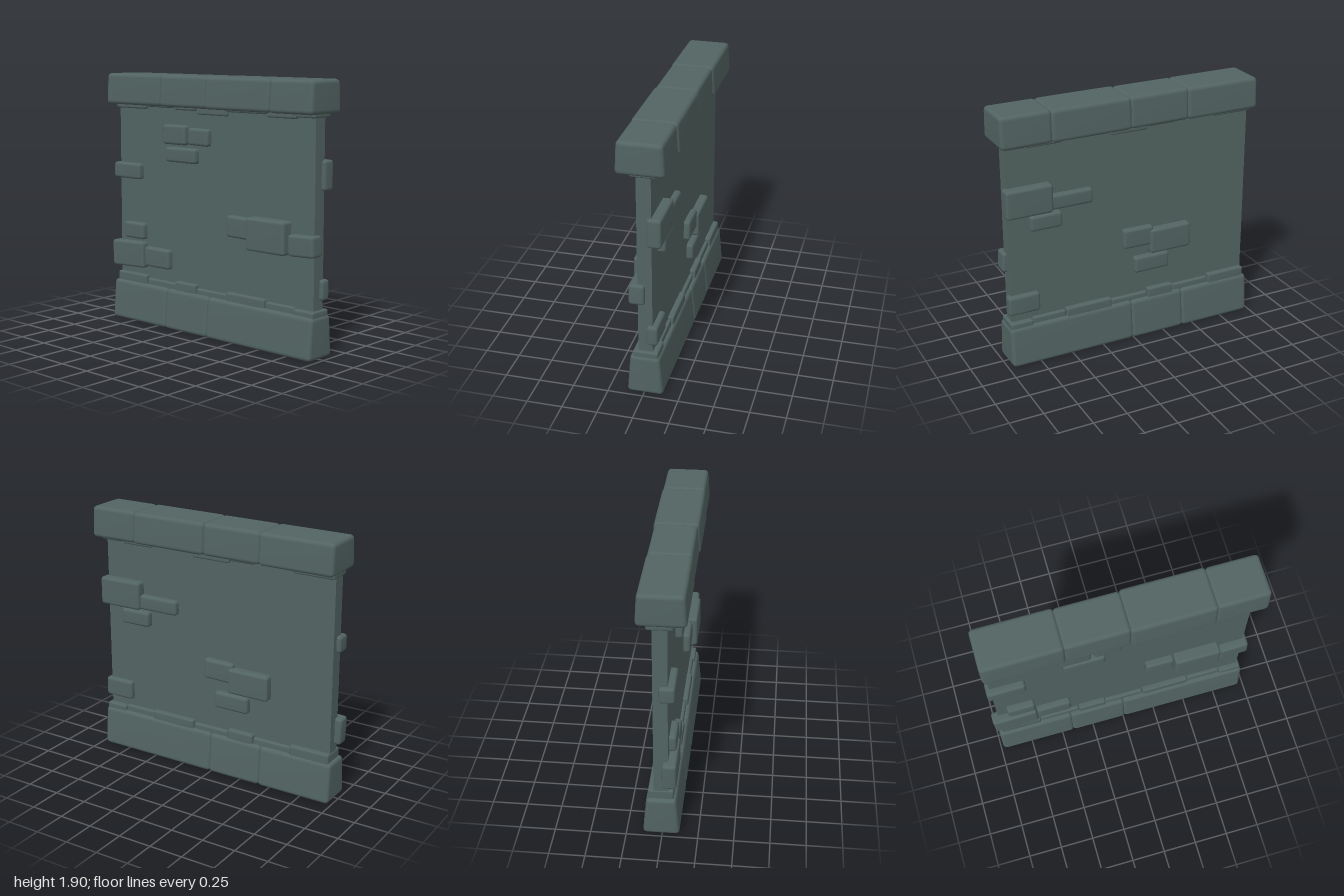
import * as THREE from 'three';
import { mergeVertices } from 'three/addons/utils/BufferGeometryUtils.js';
import { RoundedBoxGeometry } from 'three/addons/geometries/RoundedBoxGeometry.js';

const stoneMat = new THREE.MeshStandardMaterial({ color: 0x526462 });
stoneMat.name = 'slate stone';

// Softly rounded stone filling the given ranges; topScale narrows its depth upwards
function stone(name, [x0, x1], [y0, y1], [z0, z1], { r = 0.02, topScale = 1, roll = 0, bulge = 0 } = {}) {
  const w = x1 - x0, h = y1 - y0, d = z1 - z0;
  let g = new RoundedBoxGeometry(w, h, d, 2, Math.min(r, h * 0.4, d * 0.4));
  const p = g.attributes.position;
  for (let i = 0; i < p.count; i++) {
    const u = p.getX(i) / w, t = p.getY(i) / h + 0.5;
    p.setZ(i, p.getZ(i) * (1 + (topScale - 1) * t) * (1 - bulge * 4 * u * u));
  }
  g.deleteAttribute('normal');
  g.deleteAttribute('uv');
  g = mergeVertices(g, 1e-4);
  g.computeVertexNormals();
  const m = new THREE.Mesh(g, stoneMat);
  m.name = name;
  m.position.set((x0 + x1) / 2, (y0 + y1) / 2, (z0 + z1) / 2);
  m.rotation.z = roll;
  return m;
}

export function createModel() {
  const wall = new THREE.Group();
  wall.name = 'stoneWall';

  // Flat wall panel
  const panel = new THREE.Mesh(new THREE.BoxGeometry(1.89, 1.5, 0.1), stoneMat);
  panel.name = 'wallPanel';
  panel.position.set(-0.005, 0.95, -0.01);
  wall.add(panel);

  // Heavy coping stones
  [[-0.975, -0.405, 0.172], [-0.415, 0.045, 0.167], [0.035, 0.635, 0.176], [0.625, 1.0, 0.17]].forEach(([a, b, z]) =>
    wall.add(stone('copingStone', [a, b], [1.67, 1.9], [-z, z], { r: 0.03, topScale: 0.92, bulge: 0.03 })));

  // Heavy base stones
  [[-0.98, -0.405], [-0.415, 0.015], [0.005, 0.97]].forEach(([a, b]) =>
    wall.add(stone('baseStone', [a, b], [0, 0.3], [-0.14, 0.126], { r: 0.03, topScale: 0.8, bulge: 0.03 })));

  // Thin courses under the coping and over the base: edges, then heights
  const cuts = [-0.955, -0.645, -0.34, -0.13, 0.17, 0.53, 0.79, 0.96];
  const lowTop = [0.365, 0.345, 0.365, 0.34, 0.36, 0.345, 0.337];
  const highBottom = [1.638, 1.655, 1.645, 1.62, 1.652, 1.632, 1.645];
  for (let i = 0; i < 7; i++) {
    const x = [cuts[i], cuts[i + 1]];
    const z = i % 2 ? [-0.085, 0.065] : [-0.1, 0.078];
    wall.add(stone('lowerCourseStone', x, [0.27, lowTop[i]], z, { r: 0.014 }));
    wall.add(stone('upperCourseStone', x, [highBottom[i], 1.7], z, { r: 0.014 }));
  }

  // Loose stones showing on the front: x range, y range, front z, roll, back z
  [
    [[-0.45, -0.22], [1.39, 1.535], 0.09, 0],
    [[-0.2, 0], [1.395, 1.52], 0.085, -0.02],
    [[-0.425, -0.12], [1.26, 1.37], 0.09, 0],
    [[-0.98, -0.7], [1.1, 1.22], 0.09, 0, -0.02],
    [[0.18, 0.395], [0.765, 0.92], 0.09, -0.02],
    [[0.395, 0.74], [0.7, 0.935], 0.126, 0],
    [[0.75, 0.97], [0.705, 0.855], 0.1, 0.04, -0.012],
    [[-0.875, -0.665], [0.64, 0.765], 0.09, 0],
    [[-0.998, -0.66], [0.415, 0.615], 0.1, 0.04, 0],
    [[-0.66, -0.4], [0.44, 0.59], 0.085, 0],
  ].forEach(([x, y, z, roll, back = 0]) =>
    wall.add(stone('frontStone', x, y, [back, z], { r: 0.022, roll })));

  // Loose stones showing on the back: x range, y range, back z, roll, front z
  [
    [[0.62, 0.968], [1.15, 1.36], -0.13, 0, -0.03],
    [[0.31, 0.64], [1.155, 1.265], -0.105, 0],
    [[0.55, 0.79], [1.025, 1.14], -0.115, 0],
    [[0.73, 0.968], [0.4, 0.545], -0.1, 0, -0.02],
    [[-0.17, 0.07], [0.73, 0.88], -0.105, 0.02],
    [[-0.47, -0.14], [0.66, 0.85], -0.122, 0],
    [[-0.3, -0.02], [0.52, 0.645], -0.108, 0],
  ].forEach(([x, y, z, roll, front = 0]) =>
    wall.add(stone('backStone', x, y, [z, front], { r: 0.022, roll })));

  return wall;
}
